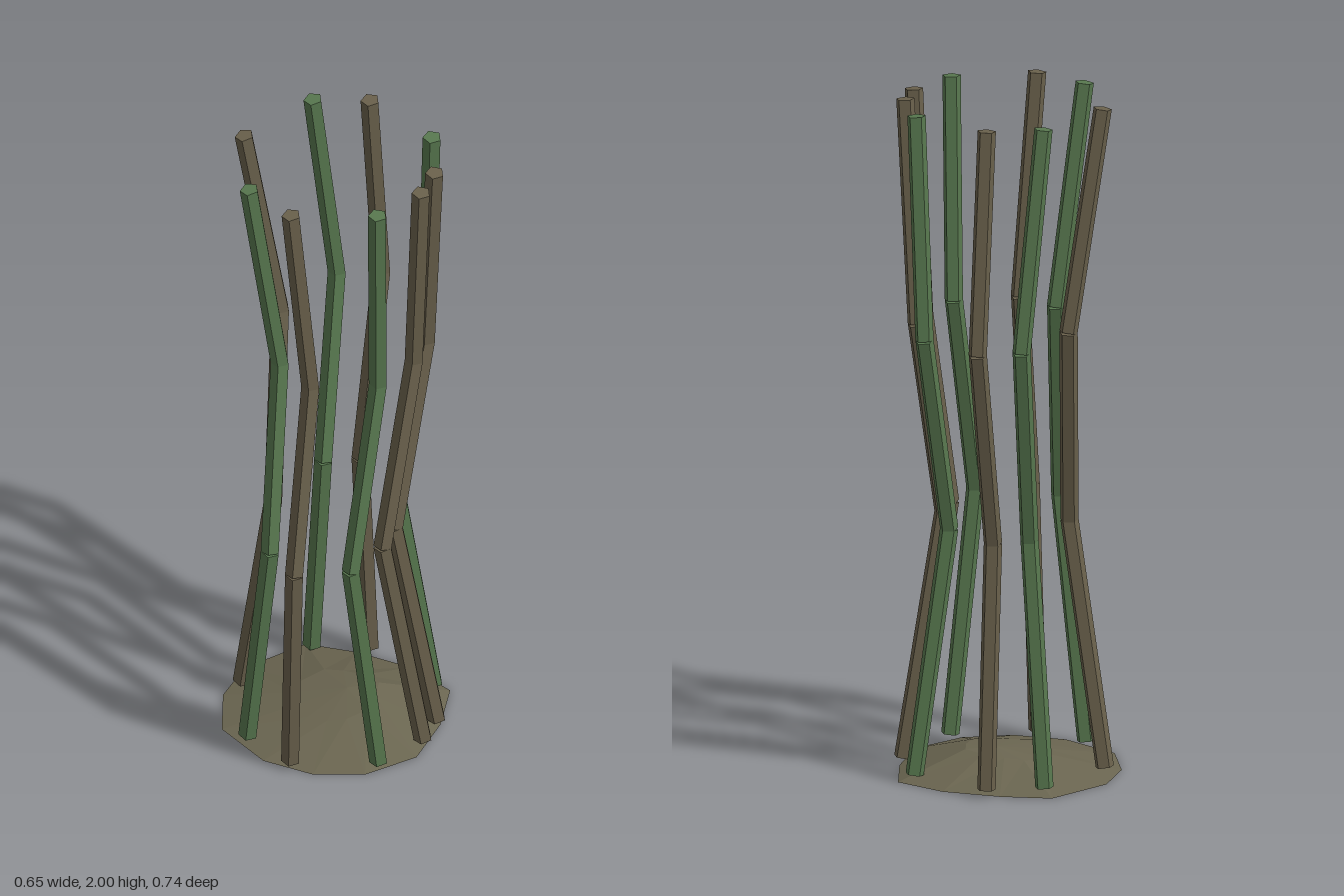
import * as THREE from 'three';

const green = new THREE.MeshStandardMaterial({ color: 0x58784f, flatShading: true });
green.name = 'stalk green';
const brown = new THREE.MeshStandardMaterial({ color: 0x6a614c, flatShading: true });
brown.name = 'stalk brown';
const earth = new THREE.MeshStandardMaterial({ color: 0x6a6550, flatShading: true });
earth.name = 'earth';

const UP = new THREE.Vector3(0, 1, 0);

// Five-sided rod running from a to b
function rod(a, b, radius, material) {
  const dir = b.clone().sub(a);
  const mesh = new THREE.Mesh(new THREE.CylinderGeometry(radius, radius, dir.length(), 5), material);
  mesh.position.copy(a).add(b).multiplyScalar(0.5);
  mesh.quaternion.setFromUnitVectors(UP, dir.normalize());
  return mesh;
}

// Stalk of three straight segments, pinched inward and swayed at its two joints
function stalk(x, z, material) {
  const group = new THREE.Group();
  group.name = 'stalk';
  const path = [
    new THREE.Vector3(x * 1.02, 0.024, z),
    new THREE.Vector3(x * 0.64, 0.743, z + 0.057),
    new THREE.Vector3(x * 0.77 + 0.03, 1.342, z - 0.057),
    new THREE.Vector3(x, 1.996, z),
  ];
  for (let i = 0; i < 3; i++) {
    const segment = rod(path[i], path[i + 1], 0.0275, material);
    segment.name = 'stalkSegment';
    group.add(segment);
  }
  return group;
}

// Low faceted mound: irregular rim, raised inner ring, apex and flat underside
function mound() {
  const rim = [
    [-0.328, 0.004], [-0.296, 0.16], [-0.148, 0.277], [0.005, 0.308], [0.15, 0.275], [0.275, 0.164],
    [0.308, 0], [0.3, -0.16], [0.166, -0.24], [0, -0.275], [-0.15, -0.28], [-0.295, -0.135],
  ];
  const n = rim.length;
  const positions = [];
  for (const [x, z] of rim) positions.push(x, 0, z);
  for (const [x, z] of rim) {
    const ix = x * 0.38, iz = z * 0.38;
    positions.push(ix, 0.056 + 0.11 * ix - 0.06 * iz, iz);
  }
  positions.push(0.03, 0.07, -0.02, 0, 0, 0);
  const apex = 2 * n, base = apex + 1;
  const index = [];
  for (let i = 0; i < n; i++) {
    const j = (i + 1) % n;
    index.push(i, j, n + j, i, n + j, n + i);
    index.push(n + i, n + j, apex);
    index.push(j, i, base);
  }
  const geometry = new THREE.BufferGeometry();
  geometry.setAttribute('position', new THREE.Float32BufferAttribute(positions, 3));
  geometry.setIndex(index);
  const flat = geometry.toNonIndexed();
  flat.computeVertexNormals();
  const mesh = new THREE.Mesh(flat, earth);
  mesh.name = 'mound';
  return mesh;
}

export function createModel() {
  const model = new THREE.Group();
  model.name = 'stalkCluster';
  model.add(mound());

  // Stalks around the mound: x, z, colour
  const stalks = [
    [-0.123, -0.253, green],
    [0.037, -0.285, brown],
    [0.248, -0.156, green],
    [0.292, 0.004, brown],
    [0.275, 0.103, brown],
    [0.177, 0.234, green],
    [-0.064, 0.287, brown],
    [-0.207, 0.197, green],
    [-0.277, -0.045, brown],
  ];
  for (const [x, z, material] of stalks) model.add(stalk(x, z, material));
  return model;
}
